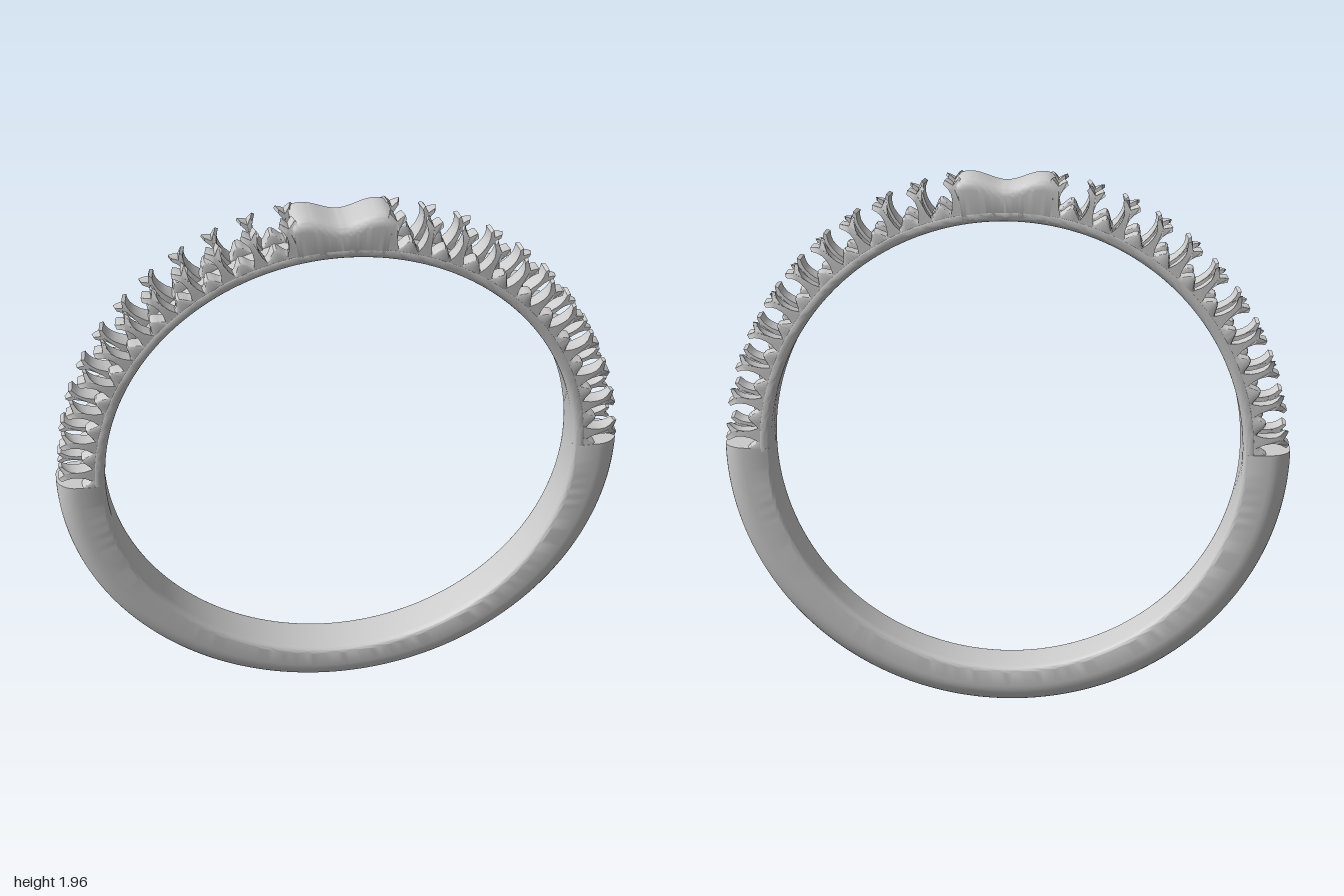
import * as THREE from 'three';
import { toCreasedNormals } from 'three/addons/utils/BufferGeometryUtils.js';

const CY = 0.98;        // height of the ring's centre
const INNER = 0.83;     // finger hole radius
const HALF = 0.085;     // half width of the band
const rad = THREE.MathUtils.degToRad;
const material = new THREE.MeshStandardMaterial({ color: 0xcccccc });

// Rounded rectangle in (radius, z), counter-clockwise; corners = [radial, across]
function section(r0, r1, z0, z1, inner, outer, n = 8) {
  const pts = [];
  const corner = (r, z, [a, b], sr, sz, start) => {
    for (let i = 0; i <= n; i++) {
      const t = rad(start + (90 * i) / n);
      pts.push([r - sr * a + a * Math.cos(t), z - sz * b + b * Math.sin(t)]);
    }
  };
  corner(r1, z1, outer, 1, 1, 0);
  corner(r0, z1, inner, -1, 1, 90);
  corner(r0, z0, inner, -1, -1, 180);
  corner(r1, z0, outer, 1, -1, 270);
  return pts;
}

// Sweeps a section around the ring's centre and caps both ends
function sweep(sectionAt, from, to, steps, crease = 0.6) {
  const pos = [], index = [];
  let n = 0;
  for (let i = 0; i <= steps; i++) {
    const deg = from + ((to - from) * i) / steps, t = rad(deg);
    const pts = sectionAt(deg);
    n = pts.length;
    for (const [r, z] of pts) pos.push(r * Math.cos(t), CY + r * Math.sin(t), z);
  }
  for (let i = 0; i < steps; i++) {
    for (let j = 0; j < n; j++) {
      const a = i * n + j, c = i * n + ((j + 1) % n);
      index.push(a, a + n, c, c, a + n, c + n);
    }
  }
  const last = steps * n;
  for (let j = 1; j < n - 1; j++) {
    index.push(0, j, j + 1, last, last + j + 1, last + j);
  }
  const g = new THREE.BufferGeometry();
  g.setAttribute('position', new THREE.Float32BufferAttribute(pos, 3));
  g.setIndex(index);
  return toCreasedNormals(g, crease);
}

// Forked prong standing along +y, measured from the ring's centre
function prongGeometry() {
  const half = [
    [0.034, 0.85], [0.024, 0.875], [0.014, 0.9], [0.0105, 0.925],
    [0.012, 0.945], [0.019, 0.962], [0.032, 0.978], [0.026, 0.99], [0.014, 0.982],
  ];
  const outline = [
    ...half.map(([x, y]) => new THREE.Vector2(x, y)),
    new THREE.Vector2(0, 0.97),
    ...half.slice().reverse().map(([x, y]) => new THREE.Vector2(-x, y)),
  ];
  const g = new THREE.ExtrudeGeometry(new THREE.Shape(outline), {
    depth: 1, steps: 4, bevelEnabled: false,
  });
  // Taper the thickness towards the tip so the edge rounds over
  const p = g.attributes.position;
  for (let i = 0; i < p.count; i++) {
    const y = p.getY(i), s = p.getZ(i);
    const k = THREE.MathUtils.clamp((y - 0.93) / 0.065, 0, 1);
    const outer = HALF - 0.001 - 0.032 * (1 - Math.sqrt(1 - k * k));
    const inner = 0.022 + 0.008 * k;
    p.setZ(i, inner + (outer - inner) * s);
    // The side facing the groove is pinched narrower
    p.setX(i, p.getX(i) * (0.65 + 0.35 * s));
  }
  return toCreasedNormals(g, 0.6);
}

export function createModel() {
  const ring = new THREE.Group();
  ring.name = 'ring';
  const add = (geometry, name, parent = ring) => {
    const mesh = new THREE.Mesh(geometry, material);
    mesh.name = name;
    parent.add(mesh);
    return mesh;
  };

  // Plain lower half, a little thinner at the bottom
  add(sweep((d) => {
    const outer = 0.98 + 0.02 * Math.cos(rad(d)) ** 2;
    return section(INNER, outer, -HALF, HALF, [0.02, 0.025], [0.075, 0.07]);
  }, 179.3, 360.7, 120), 'shank');

  // Thin band under the settings; its outside is the groove floor
  add(sweep(() => section(INNER, 0.868, -HALF, HALF, [0.02, 0.025], [0.004, 0.004], 5),
    0, 180, 120), 'innerBand');

  // Raised saddle-shaped plate at the crown
  add(sweep((d) => {
    const u = Math.abs(d - 90) / 8;
    const outer = u < 1
      ? 0.95 + 0.019 * (1 - Math.cos(Math.PI * u))
      : 0.988 - 0.16 * (u - 1) ** 2;
    return section(INNER, outer, -HALF, HALF, [0.02, 0.025], [0.04, 0.035]);
  }, 80.2, 99.8, 40), 'crownPlate');

  // Scalloped rails and rows of forked prongs, mirrored to both shoulders and faces
  const first = 4, pitch = 7.55, count = 11;
  const prong = prongGeometry();
  for (const left of [true, false]) {
    const shoulder = new THREE.Group();
    shoulder.name = left ? 'leftShoulder' : 'rightShoulder';
    ring.add(shoulder);
    for (const front of [true, false]) {
      const face = front ? 'Front' : 'Back';
      const rail = (d) => {
        const a = left ? d : 180 - d;
        const wave = 0.5 - 0.5 * Math.cos((2 * Math.PI * (a - first)) / pitch);
        const outer = 0.874 + 0.04 * wave ** 2;
        const z = front ? [0.03, HALF - 0.001] : [0.001 - HALF, -0.03];
        return section(0.845, outer, z[0], z[1], [0.004, 0.004], [0.012, 0.014], 3);
      };
      add(sweep(rail, left ? 0 : 99, left ? 81 : 180, 132), `scallopedRail${face}`, shoulder);

      for (let i = 0; i < count; i++) {
        const a = first + i * pitch;
        const mount = new THREE.Group();
        mount.name = `prongMount${face}`;
        mount.position.y = CY;
        mount.rotation.z = rad(left ? a - 90 : 90 - a);
        const mesh = add(prong, `prong${face}`, mount);
        if (!front) mesh.rotation.y = Math.PI;
        shoulder.add(mount);
      }
    }
  }
  return ring;
}
